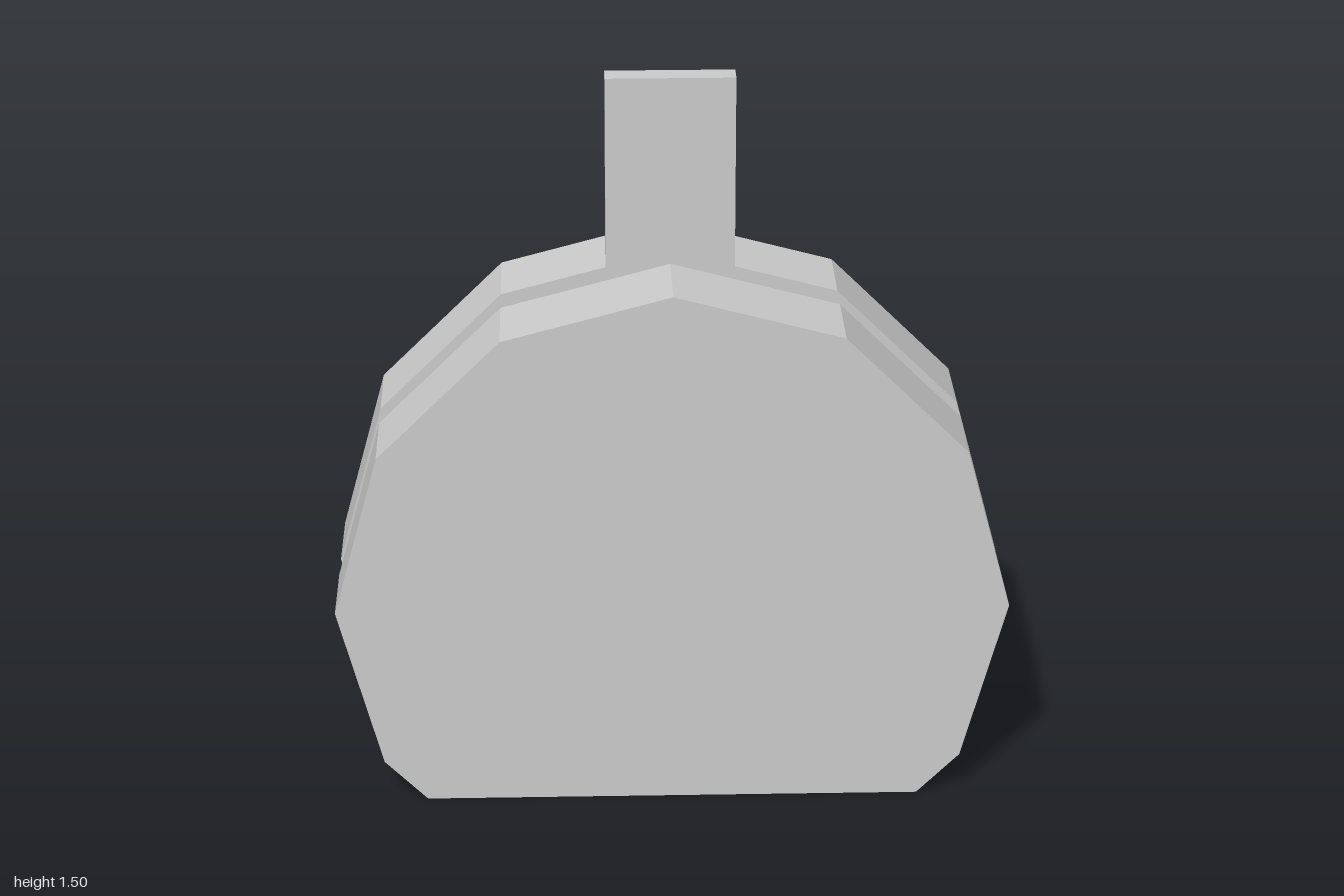
import * as THREE from 'three';

const SIDES = 12;
const AXIS_Y = 0.43;

const metal = new THREE.MeshStandardMaterial({ color: 0xcccccc, flatShading: true, side: THREE.DoubleSide });
metal.name = 'grey metal';

function add(group, name, geometry) {
  const mesh = new THREE.Mesh(geometry, metal);
  mesh.name = name;
  group.add(mesh);
  return mesh;
}

// Keep only the triangles of a non-indexed geometry that pass a test
function filterTriangles(geometry, keep) {
  const src = geometry.index ? geometry.toNonIndexed() : geometry;
  const p = src.attributes.position;
  const out = [];
  for (let i = 0; i < p.count; i += 3) {
    const tri = [0, 1, 2].map(k => new THREE.Vector3().fromBufferAttribute(p, i + k));
    if (keep(tri)) tri.forEach(v => out.push(v.x, v.y, v.z));
  }
  const g = new THREE.BufferGeometry();
  g.setAttribute('position', new THREE.Float32BufferAttribute(out, 3));
  g.computeVertexNormals();
  return g;
}

// Twelve-sided disc cut off level with the ground and open underneath
function discGeometry(radius, z0, z1, caps) {
  const pts = [];
  const at = i => {
    const a = (i / SIDES) * Math.PI * 2;
    return new THREE.Vector2(radius * Math.cos(a), AXIS_Y + radius * Math.sin(a));
  };
  for (let i = 0; i < SIDES; i++) {
    const a = at(i), b = at(i + 1);
    if (a.y >= 0) pts.push(a);
    if ((a.y >= 0) !== (b.y >= 0)) {
      const cut = a.clone().lerp(b, a.y / (a.y - b.y));
      cut.y = 0;
      pts.push(cut);
    }
  }
  const g = new THREE.ExtrudeGeometry(new THREE.Shape(pts), { depth: z1 - z0, bevelEnabled: false });
  g.translate(0, 0, z0);
  return filterTriangles(g, ([a, b, c]) => {
    const bottom = Math.max(a.y, b.y, c.y) < 1e-4;
    const cap = Math.abs(a.z - b.z) < 1e-5 && Math.abs(a.z - c.z) < 1e-5;
    return !bottom && (caps || !cap);
  });
}

// Straight pipe with a downward elbow, each lengthwise edge ending at y = 0
function pipeGeometry() {
  const r = 0.365, bend = 0.87, bendZ = 0.14, startZ = 0.98, steps = 8;
  const strands = [];
  for (let i = 0; i < SIDES; i++) {
    const a = (i / SIDES) * Math.PI * 2;
    const x = r * Math.cos(a), h = r * Math.sin(a);
    const strand = [new THREE.Vector3(x, AXIS_Y + h, startZ)];
    for (let j = 0; j <= steps; j++) {
      const t = (j / steps) * Math.PI / 2;
      const R = bend + h;
      const next = new THREE.Vector3(x, AXIS_Y - bend + R * Math.cos(t), bendZ - R * Math.sin(t));
      const last = strand[strand.length - 1];
      if (last.y <= 0) strand.push(last.clone());
      else if (next.y < 0) {
        const cut = last.clone().lerp(next, last.y / (last.y - next.y));
        cut.y = 0;
        strand.push(cut);
      } else strand.push(next);
    }
    strands.push(strand);
  }
  const rows = strands[0].length;
  const index = [];
  for (let i = 0; i < SIDES; i++) {
    const n = (i + 1) % SIDES;
    for (let j = 0; j < rows - 1; j++) {
      const a = i * rows + j, b = n * rows + j;
      index.push(a, a + 1, b + 1, a, b + 1, b);
    }
  }
  const g = new THREE.BufferGeometry().setFromPoints(strands.flat());
  g.setIndex(index);
  // Drop the collapsed triangles left below the cut
  return filterTriangles(g, tri => new THREE.Triangle(...tri).getArea() > 1e-7);
}

export function createModel() {
  const group = new THREE.Group();
  group.name = 'pipe outlet with gate';

  // Two flanges with a narrower ring between them
  add(group, 'frontFlange', discGeometry(0.685, 0.822, 1.0, true));
  add(group, 'gateRing', discGeometry(0.645, 0.75, 0.822, false));
  add(group, 'backFlange', discGeometry(0.685, 0.575, 0.75, true));

  // Curved outlet
  add(group, 'elbowPipe', pipeGeometry());

  // Flat gate handle standing out of the ring
  const handle = add(group, 'gateHandle', new THREE.BoxGeometry(0.26, 0.505, 0.05));
  handle.position.set(0, 1.2525, 0.788);

  return group;
}
